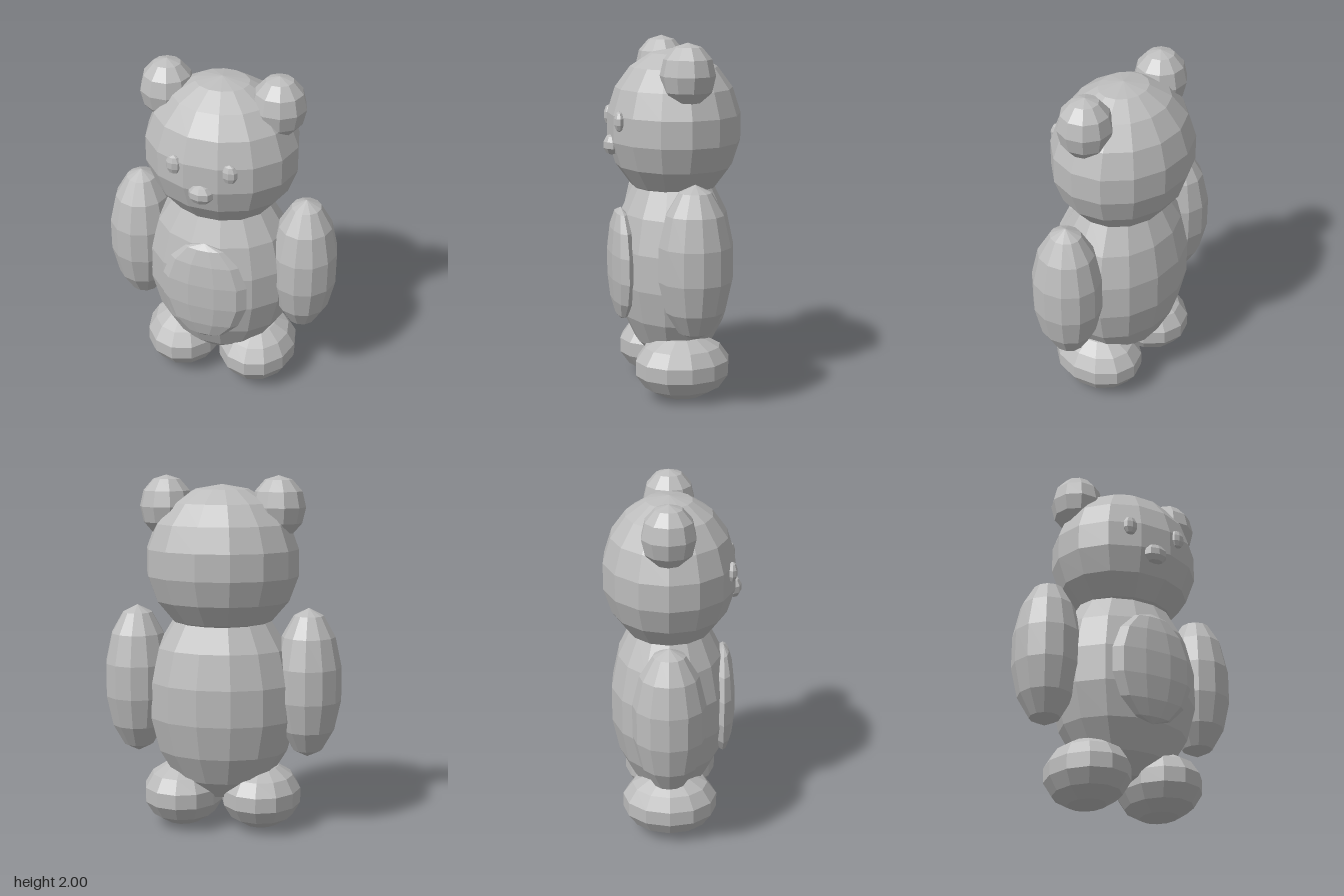
import * as THREE from 'three';

const plush = new THREE.MeshStandardMaterial({ color: 0xbcbcbc });
plush.name = 'light grey plush';

// Faceted ellipsoid; turn = true puts a ridge, rather than a flat, at the front
function ellipsoid(name, center, radii, columns, rows, turn = false) {
  let geo = new THREE.SphereGeometry(1, columns, rows);
  if (turn) geo.rotateY(Math.PI / 2);
  geo.scale(...radii);
  geo = geo.toNonIndexed();
  geo.computeVertexNormals();
  const mesh = new THREE.Mesh(geo, plush);
  mesh.name = name;
  mesh.position.set(...center);
  return mesh;
}

export function createModel() {
  const bear = new THREE.Group();
  bear.name = 'teddyBear';

  // Centre parts
  bear.add(
    ellipsoid('body', [0, 0.745, -0.02], [0.43, 0.59, 0.339], 14, 9),
    ellipsoid('head', [0, 1.52, -0.02], [0.435, 0.43, 0.375], 14, 9),
    ellipsoid('bellyPatch', [0, 0.745, 0.286], [0.253, 0.325, 0.07], 10, 7),
    ellipsoid('nose', [0, 1.424, 0.335], [0.073, 0.058, 0.046], 8, 5, true),
  );

  // Mirrored parts: the model's left is +x
  for (const [side, s] of [['left', 1], ['right', -1]]) {
    bear.add(
      ellipsoid(side + 'Ear', [s * 0.313, 1.826, -0.022], [0.152, 0.174, 0.15], 10, 6),
      ellipsoid(side + 'Arm', [s * 0.487, 0.845, -0.02], [0.192, 0.425, 0.204], 12, 7),
      ellipsoid(side + 'Foot', [s * 0.225, 0.19, -0.018], [0.231, 0.187, 0.275], 12, 7),
      ellipsoid(side + 'Eye', [s * 0.155, 1.57, 0.32], [0.045, 0.057, 0.028], 8, 5),
    );
  }
  return bear;
}
